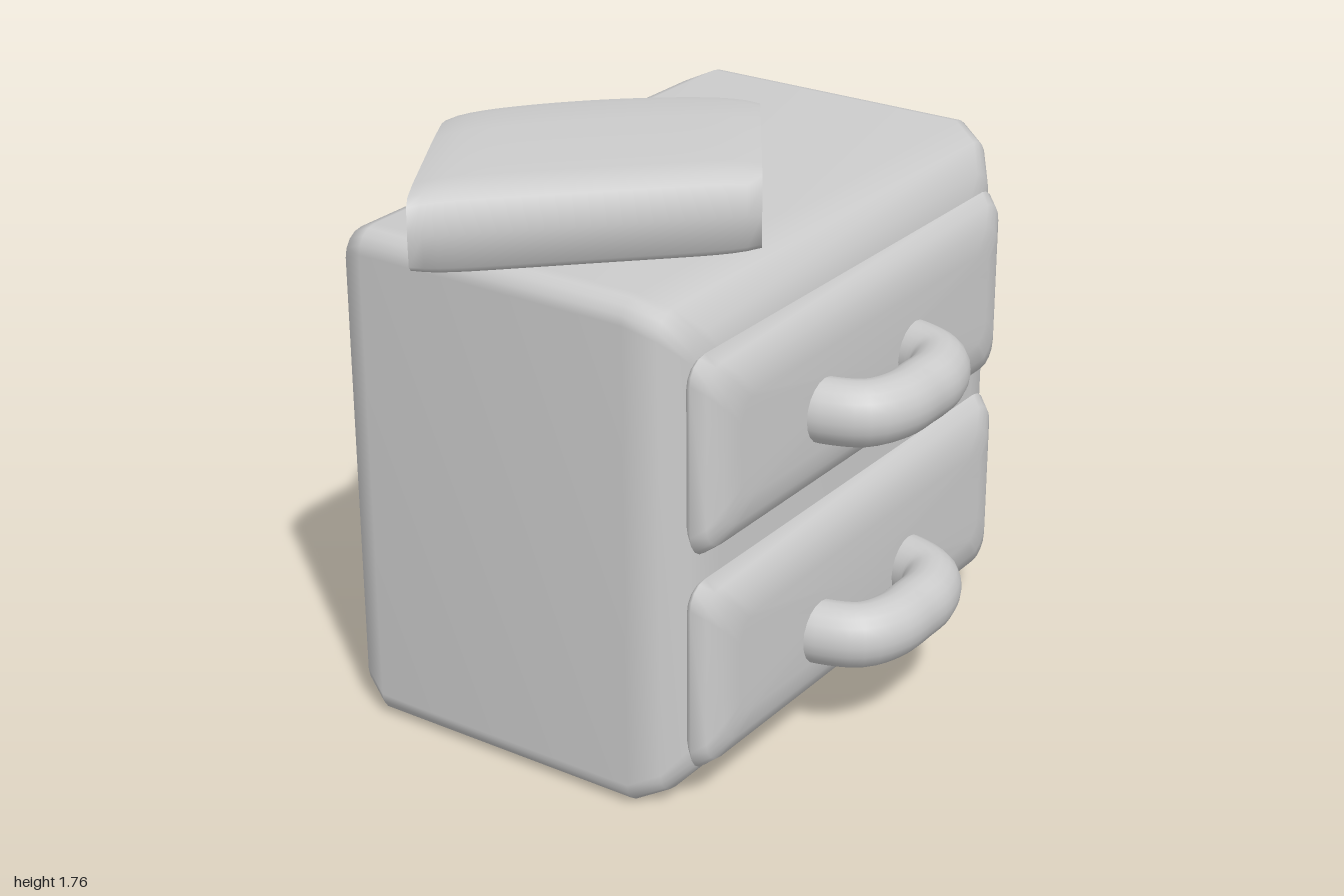
import * as THREE from 'three';
import { toCreasedNormals } from 'three/addons/utils/BufferGeometryUtils.js';

const material = new THREE.MeshStandardMaterial({ color: 0xcccccc });

function addMesh(parent, name, geometry) {
  const mesh = new THREE.Mesh(geometry, material);
  mesh.name = name;
  parent.add(mesh);
  return mesh;
}

// Soft-edged block: rounded rectangles in the yz plane, lofted along x.
// stations: [x, inset] pairs from -x to +x.
function softBlock(y0, y1, z0, z1, radius, stations) {
  const cy = (y0 + y1) / 2, cz = (z0 + z1) / 2, steps = 4;
  const positions = [], index = [], n = 4 * (steps + 1);
  for (const [x, inset] of stations) {
    const hy = (y1 - y0) / 2 - inset - radius;
    const hz = (z1 - z0) / 2 - inset - radius;
    for (let q = 0; q < 4; q++) {
      const sy = q === 0 || q === 3 ? 1 : -1, sz = q < 2 ? 1 : -1;
      for (let s = 0; s <= steps; s++) {
        const a = (q + s / steps) * Math.PI / 2;
        positions.push(x, cy + sy * hy + radius * Math.cos(a), cz + sz * hz + radius * Math.sin(a));
      }
    }
  }
  const last = stations.length - 1;
  for (let i = 0; i < last; i++) {
    for (let j = 0; j < n; j++) {
      const k = (j + 1) % n, a = i * n + j, b = i * n + k;
      index.push(a, b, b + n, a, b + n, a + n);
    }
  }
  // End caps
  const c0 = positions.length / 3, c1 = c0 + 1;
  positions.push(stations[0][0], cy, cz, stations[last][0], cy, cz);
  for (let j = 0; j < n; j++) {
    const k = (j + 1) % n;
    index.push(c0, k, j, c1, last * n + j, last * n + k);
  }
  const geometry = new THREE.BufferGeometry();
  geometry.setAttribute('position', new THREE.Float32BufferAttribute(positions, 3));
  geometry.setIndex(index);
  geometry.computeVertexNormals();
  return geometry;
}

// Book footprint on the cabinet top; the spine runs from spineLeft to spineRight.
const BOOK_W = 0.65, BOOK_L = 0.9, BOOK_Y = 1.633;
const foreFront = new THREE.Vector2(-0.575, 0.42), foreBack = new THREE.Vector2(0.06, -0.195);
const spineFront = new THREE.Vector2(-0.24, 0.99), spineBack = new THREE.Vector2(0.42, 0.34);

// Bends a straight book part onto the skewed footprint with a bowed fore edge.
function warpBook(geometry) {
  const p = geometry.attributes.position;
  for (let i = 0; i < p.count; i++) {
    const u = p.getX(i) / BOOK_W;
    const v = THREE.MathUtils.clamp(1 - p.getZ(i) / BOOK_L, 0, 1);
    const fore = foreFront.clone().lerp(foreBack, v);
    const spine = spineFront.clone().lerp(spineBack, v);
    const at = fore.lerp(spine, u);
    const bow = 0.05 * (1 - u) * Math.pow(Math.sin(Math.PI * v), 0.7);
    const pinch = 1 - 0.12 * Math.pow(Math.abs(2 * v - 1), 8);
    p.setXYZ(i, at.x - bow, BOOK_Y + (p.getY(i) - BOOK_Y) * pinch, at.y - bow);
  }
  geometry.deleteAttribute('uv');
  return toCreasedNormals(geometry, 0.9);
}

export function createModel() {
  const model = new THREE.Group();
  model.name = 'nightstandWithBook';

  // Cabinet body
  addMesh(model, 'cabinet', softBlock(0, 1.51, -1, 0.78, 0.07, [
    [-0.755, 0.21], [-0.735, 0.11], [-0.68, 0.04], [-0.595, 0],
    [0.28, 0], [0.365, 0.04], [0.42, 0.11], [0.442, 0.21],
  ]));

  // Two drawers, each with a bowed pull
  [[0.125, 0.70, 0.347], [0.78, 1.355, 1.035]].forEach(([y0, y1, handleY], i) => {
    const drawer = new THREE.Group();
    drawer.name = i ? 'upperDrawer' : 'lowerDrawer';
    model.add(drawer);
    addMesh(drawer, 'drawerFront', softBlock(y0, y1, -0.875, 0.71, 0.07, [
      [0.405, 0.06], [0.42, 0.02], [0.445, 0], [0.48, 0.025], [0.505, 0.075], [0.515, 0.14],
    ]));
    const path = new THREE.CatmullRomCurve3([
      [0.42, -0.25], [0.52, -0.24], [0.62, -0.195], [0.663, -0.1],
      [0.667, 0], [0.663, 0.1], [0.62, 0.195], [0.52, 0.24], [0.42, 0.25],
    ].map(([x, z]) => new THREE.Vector3(x, 0, z)));
    const handle = addMesh(drawer, 'handle', new THREE.TubeGeometry(path, 32, 0.088, 20));
    handle.scale.y = 1.08;
    handle.position.set(0, handleY, -0.075);
  });

  const book = new THREE.Group();
  book.name = 'book';
  model.add(book);

  // Covers and spine as one folded U profile
  const coverShape = new THREE.Shape([
    [0, 1.738], [0.06, 1.751], [0.2, 1.757], [0.54, 1.754], [0.62, 1.747], [0.645, 1.725],
    [0.65, 1.633], [0.645, 1.54], [0.62, 1.518], [0.54, 1.508], [0.2, 1.507], [0.06, 1.513],
    [0, 1.53], [0.05, 1.55], [0.59, 1.55], [0.59, 1.716], [0.05, 1.716],
  ].map(([x, y]) => new THREE.Vector2(x, y)));
  addMesh(book, 'cover', warpBook(new THREE.ExtrudeGeometry(coverShape, {
    depth: BOOK_L, steps: 24, bevelEnabled: false,
  })));

  // Page block with rounded edges
  const pageShape = new THREE.Shape();
  const r = 0.08, left = 0.03;
  pageShape.moveTo(0.61, BOOK_Y - r);
  pageShape.lineTo(0.61, BOOK_Y + r);
  pageShape.lineTo(left + r, BOOK_Y + r);
  pageShape.absarc(left + r, BOOK_Y, r, Math.PI / 2, Math.PI * 1.5, false);
  const pages = new THREE.ExtrudeGeometry(pageShape, {
    depth: BOOK_L - 0.14, steps: 20, curveSegments: 12,
    bevelThickness: 0.055, bevelSize: 0.05, bevelOffset: -0.05, bevelSegments: 5,
  });
  pages.translate(0, 0, 0.07);
  addMesh(book, 'pages', warpBook(pages));

  return model;
}
